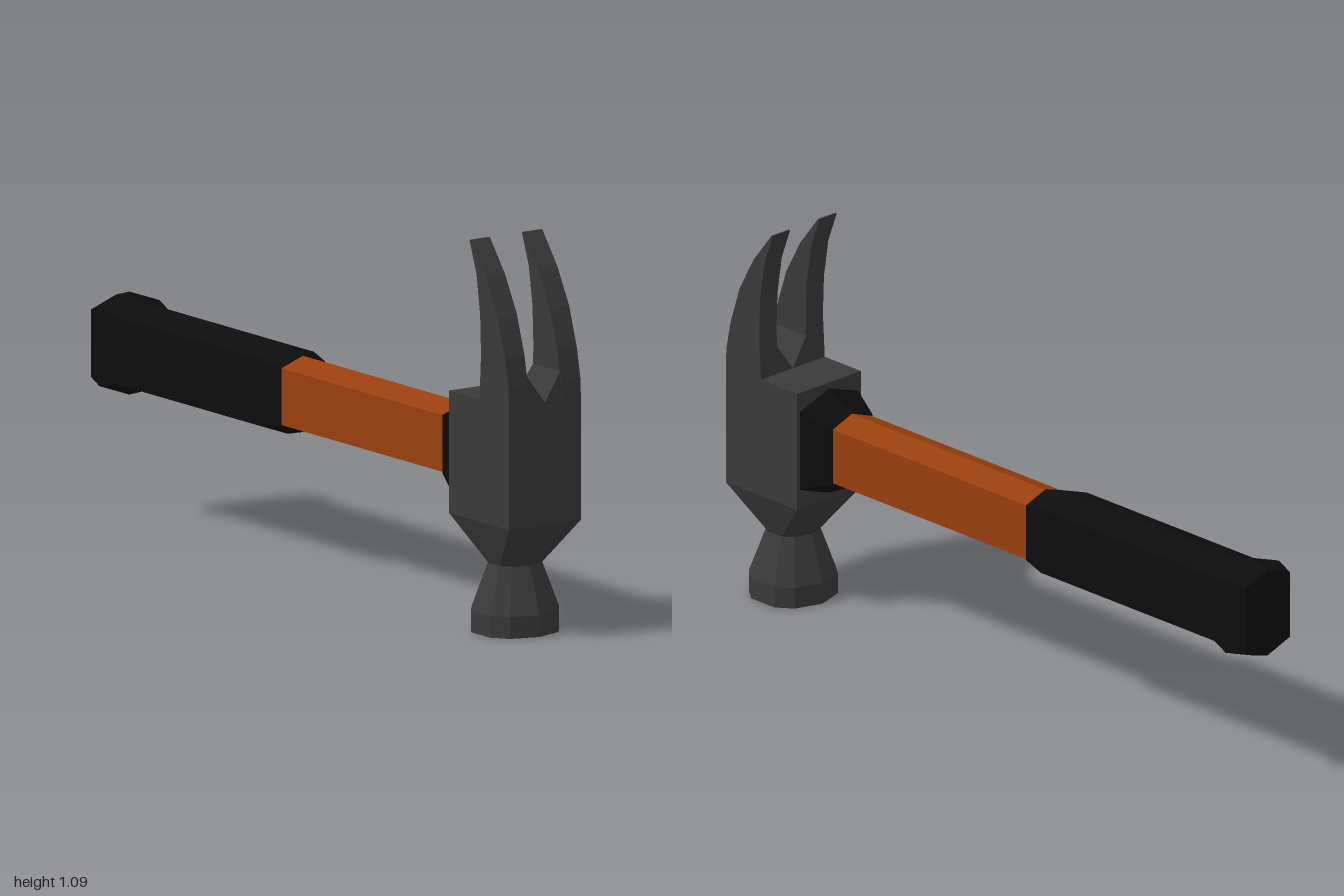
import * as THREE from 'three';
import { ConvexGeometry } from 'three/addons/geometries/ConvexGeometry.js';

const HANDLE_Y = 0.485;
const HEAD_X = 0.86;

// Skin a list of matching rings (counter-clockwise about the travel direction) and cap both ends
function loft(rings) {
  const pos = [];
  const tri = (...pts) => pts.forEach((p) => pos.push(...p));
  const n = rings[0].length;
  for (let k = 0; k < rings.length - 1; k++) {
    const a = rings[k], b = rings[k + 1];
    for (let i = 0; i < n; i++) {
      const j = (i + 1) % n;
      tri(a[i], a[j], b[j]);
      tri(a[i], b[j], b[i]);
    }
  }
  const first = rings[0], last = rings[rings.length - 1];
  for (let i = 1; i < n - 1; i++) {
    tri(first[0], first[i + 1], first[i]);
    tri(last[0], last[i], last[i + 1]);
  }
  const geo = new THREE.BufferGeometry();
  geo.setAttribute('position', new THREE.Float32BufferAttribute(pos, 3));
  geo.computeVertexNormals();
  return geo;
}

// Six-sided handle section with ridges along the top and bottom
function handleRing([x, h, w]) {
  const s = h * 0.75;
  return [[h, 0], [s, w], [-s, w], [-h, 0], [-s, -w], [s, -w]]
    .map(([y, z]) => [x, HANDLE_Y + y, z]);
}

// Ten-sided section of the striking end
function faceRing(y, scale) {
  const half = [[0.045, 0.115], [0.09, 0.081], [0.116, 0], [0.09, -0.081], [0.045, -0.115]];
  return [...half, ...half.map(([x, z]) => [-x, -z])]
    .map(([x, z]) => [HEAD_X + x * scale, y, z * scale]);
}

export function createModel() {
  const group = new THREE.Group();
  const material = (name, color) => {
    const m = new THREE.MeshStandardMaterial({ color, flatShading: true });
    m.name = name;
    return m;
  };
  const steel = material('dark steel', 0x3a3a3a);
  const wood = material('orange wood', 0x983f0e);
  const rubber = material('black rubber', 0x0d0d0d);

  const add = (name, geo, mat) => {
    const mesh = new THREE.Mesh(geo, mat);
    mesh.name = name;
    group.add(mesh);
    return mesh;
  };

  // Handle: x, half height, half width of each section
  add('grip', loft([
    [-1, 0.125, 0.085], [-0.94, 0.143, 0.1], [-0.88, 0.124, 0.087],
    [-0.2, 0.124, 0.087], [-0.13, 0.107, 0.074],
  ].map(handleRing)), rubber);
  add('shaft', loft([[-0.13, 0.105, 0.072], [0.63, 0.105, 0.072]].map(handleRing)), wood);
  add('collar', loft([[0.63, 0.109, 0.077], [0.72, 0.153, 0.11]].map(handleRing)), rubber);

  // Head block
  const block = new THREE.BoxGeometry(0.28, 0.34, 0.24);
  block.translate(HEAD_X, 0.485, 0);
  add('headBlock', block, steel);

  // Taper from the square block to the round neck
  const taperPoints = faceRing(0.19, 0.605).map((p) => new THREE.Vector3(...p));
  for (const x of [0.72, 1]) {
    for (const z of [-0.12, 0.12]) taperPoints.push(new THREE.Vector3(x, 0.315, z));
  }
  add('neckTaper', new ConvexGeometry(taperPoints), steel);

  // Striking end
  add('strikingFace', loft([faceRing(0, 1), faceRing(0.06, 1), faceRing(0.19, 0.605)]), steel);

  // Two curved claw prongs
  const prong = new THREE.Shape([
    [0.862, 0.655], [1, 0.655], [0.997, 0.71], [0.981, 0.79], [0.945, 0.9], [0.89, 1.0],
    [0.82, 1.09], [0.815, 1.09], [0.848, 1.0], [0.865, 0.89], [0.869, 0.78],
  ].map((p) => new THREE.Vector2(...p)));
  for (const z of [0.055, -0.12]) {
    const geo = new THREE.ExtrudeGeometry(prong, { depth: 0.065, bevelEnabled: false });
    geo.translate(0, 0, z);
    add(z > 0 ? 'leftProng' : 'rightProng', geo, steel);
  }

  // Sloped wedges forming the V at the foot of the claw slot
  for (const side of [1, -1]) {
    const points = [];
    for (const [x, y, z] of [
      [0.862, 0.655, 0], [1, 0.655, 0], [0.862, 0.655, 0.055],
      [1, 0.655, 0.055], [0.867, 0.733, 0.055], [0.993, 0.733, 0.055],
    ]) points.push(new THREE.Vector3(x, y, z * side));
    add('notchWedge', new ConvexGeometry(points), steel);
  }

  return group;
}
